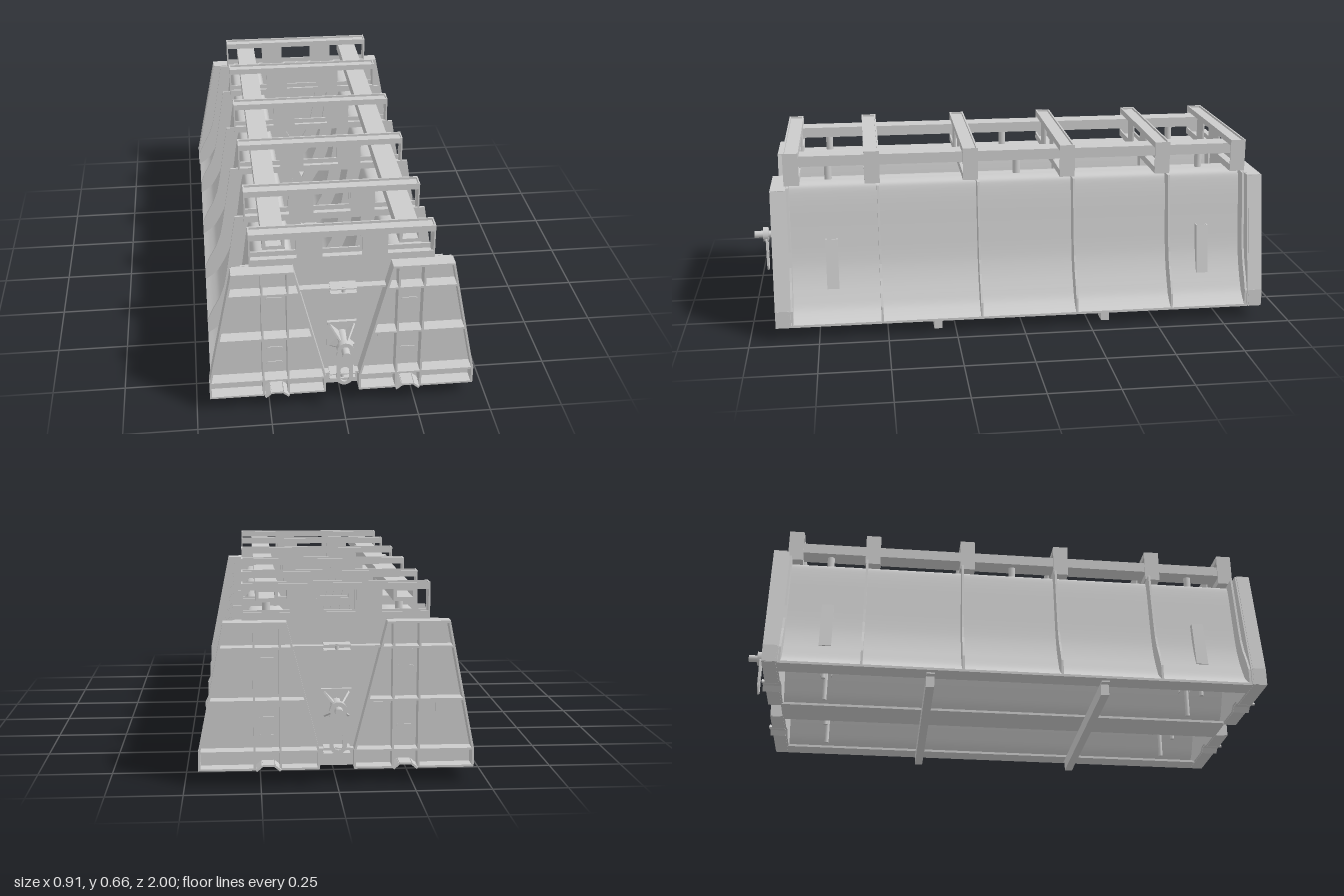
import * as THREE from 'three';

const mat = new THREE.MeshStandardMaterial({ color: 0xcccccc, side: THREE.DoubleSide });
const C = 0.225; // centre line of each mould

function add(parent, name, geo, x = 0, y = 0, z = 0) {
  const m = new THREE.Mesh(geo, mat);
  m.name = name;
  m.position.set(x, y, z);
  parent.add(m);
  return m;
}
// Box given by its limits
const box = (p, name, x0, x1, y0, y1, z0, z1) =>
  add(p, name, new THREE.BoxGeometry(x1 - x0, y1 - y0, z1 - z0), (x0 + x1) / 2, (y0 + y1) / 2, (z0 + z1) / 2);

const poly = (pts) => new THREE.Shape(pts.map(([x, y]) => new THREE.Vector2(x, y)));
const rect = (x0, x1, y0, y1) => new THREE.Path([[x0, y0], [x1, y0], [x1, y1], [x0, y1]].map(([x, y]) => new THREE.Vector2(x, y)));
const extrude = (p, name, shape, z0, depth) =>
  add(p, name, new THREE.ExtrudeGeometry(shape, { depth, bevelEnabled: false, curveSegments: 8 }), 0, 0, z0);

// Thin bar between two points of an end face
function bar(p, name, x0, y0, x1, y1, z0, z1, t = 0.007) {
  const m = add(p, name, new THREE.BoxGeometry(Math.hypot(x1 - x0, y1 - y0), t, z1 - z0), (x0 + x1) / 2, (y0 + y1) / 2, (z0 + z1) / 2);
  m.rotation.z = Math.atan2(y1 - y0, x1 - x0);
}
function pill(w, h, y = 0) {
  const r = Math.min(w, h) / 2, a = Math.max(w, h) / 2 - r, s = new THREE.Shape();
  if (w > h) {
    s.absarc(a, y, r, -Math.PI / 2, Math.PI / 2);
    s.absarc(-a, y, r, Math.PI / 2, Math.PI * 1.5);
  } else {
    s.absarc(0, y + a, r, 0, Math.PI);
    s.absarc(0, y - a, r, Math.PI, Math.PI * 2);
  }
  return s;
}
function rod(p, name, r0, r1, x, y, z, len, axis = 'y') {
  const m = add(p, name, new THREE.CylinderGeometry(r1, r0, len, 20), x, y, z);
  if (axis === 'z') m.rotation.x = Math.PI / 2;
}

// Half of the mould wall, measured from the mould centre line
const wall = [[0.225, 0.056], [0.2, 0.073], [0.176, 0.095], [0.153, 0.135], [0.131, 0.18], [0.113, 0.23], [0.102, 0.28], [0.09, 0.36], [0.068, 0.505], [0.057, 0.532], [0.03, 0.54], [0, 0.54]];
const ribEdge = [[0.225, 0.05], [0.225, 0.11], [0.205, 0.155], [0.178, 0.205], [0.16, 0.255], [0.149, 0.31], [0.112, 0.54], [0.05, 0.54]];

function mouldBody(sign) {
  const g = new THREE.Group();
  g.name = 'mouldBody';
  g.position.x = sign * C;
  const curve = new THREE.CatmullRomCurve3(wall.map(([x, y]) => new THREE.Vector3(x, y, 0)), false, 'centripetal');
  const n = 44;
  for (const s of [-1, 1]) {
    // Curved wall sheet
    const geo = new THREE.PlaneGeometry(1, 1, n, 1), pos = geo.attributes.position;
    for (let i = 0; i < pos.count; i++) {
      const q = curve.getPoint((i % (n + 1)) / n);
      pos.setXYZ(i, q.x * s, q.y, i > n ? -0.853 : 0.853);
    }
    if (s > 0) geo.index.array.reverse();
    geo.computeVertexNormals();
    add(g, 'curvedWall', geo);
    // Bottom flange
    box(g, 'bottomFlange', Math.min(s * 0.15, s * 0.225), Math.max(s * 0.15, s * 0.225), 0.047, 0.056, -0.853, 0.853);
    // Stiffening ribs
    const pts = [...ribEdge, ...wall.slice(0, 9).reverse()].map(([x, y]) => [x * s, y]);
    for (const z of [0.845, 0.52, 0.155, -0.2, -0.56, -0.845]) extrude(g, 'wallRib', poly(pts), z - 0.004, 0.008);
    // Slanted pockets with the pins below them
    for (const z of [-0.695, 0.695]) {
      const cheek = poly([[0.125, 0.16], [0.143, 0.16], [0.113, 0.34], [0.088, 0.34]].map(([x, y]) => [x * s, y]));
      for (const dz of [-0.022, 0.018]) extrude(g, 'pocketCheek', cheek, z + dz, 0.004);
      bar(g, 'pocketBack', 0.143 * s, 0.16, 0.113 * s, 0.34, z - 0.022, z + 0.022, 0.004);
      rod(g, 'pocketPin', 0.008, 0.008, s * 0.1, 0.14, z, 0.18);
    }
  }
  // Top rail: hollow rectangular tube on posts
  const tube = poly([[-0.037, 0.598], [0.037, 0.598], [0.037, 0.637], [-0.037, 0.637]]);
  tube.holes.push(rect(-0.026, 0.026, 0.611, 0.632));
  extrude(g, 'topRail', tube, -0.85, 1.7);
  for (const z of [-0.7, 0, 0.7]) rod(g, 'railPost', 0.0135, 0.0135, 0, 0.569, z, 0.06);
  return g;
}

// Crossbar with three windows and closing plates
function crossbar(z) {
  const g = new THREE.Group();
  g.name = 'crossbar';
  g.position.z = z;
  const web = poly([[-0.307, 0.54], [0.307, 0.54], [0.307, 0.66], [-0.307, 0.66]]);
  web.holes.push(rect(-0.302, -0.15, 0.565, 0.638), rect(-0.065, 0.065, 0.565, 0.638), rect(0.15, 0.302, 0.565, 0.638));
  for (const dz of [-0.028, 0.022]) extrude(g, 'windowedWeb', web, dz, 0.006);
  box(g, 'topPlate', -0.307, 0.307, 0.645, 0.652, -0.022, 0.022);
  box(g, 'bottomPlate', -0.307, 0.307, 0.54, 0.547, -0.022, 0.022);
  for (const s of [-1, 1]) add(g, 'sidePlate', new THREE.BoxGeometry(0.005, 0.12, 0.056), s * 0.305, 0.6, 0);
  return g;
}

function endFrame() {
  const g = new THREE.Group();
  g.name = 'endFrame';
  const notch = [[0.265, 0.05], [0.245, 0.067], [0.205, 0.067], [0.185, 0.05]];
  const half = [[0.453, 0.05], [0.453, 0.11], [0.365, 0.54]];
  const neg = (a) => a.map(([x, y]) => [-x, y]);
  extrude(g, 'endPlate', poly([...half, ...neg(half).reverse(), ...neg(notch), ...notch.slice().reverse()]), 0.85, 0.008);
  const z0 = 0.856, z1 = 0.905;
  for (const s of [-1, 1]) {
    const b = (x0, y0, x1, y1, za = z0, zb = z1) => bar(g, 'endRib', s * x0, y0, s * x1, y1, za, zb);
    // Trapezoid border
    b(0.451, 0.05, 0.451, 0.113);
    b(0.451, 0.11, 0.365, 0.54);
    b(0.06, 0.05, 0.06, 0.113);
    b(0.06, 0.11, 0.167, 0.54);
    b(0.163, 0.537, 0.369, 0.537);
    b(0.058, 0.052, 0.185, 0.052);
    b(0.265, 0.052, 0.453, 0.052);
    // Vertical and horizontal stiffeners
    for (const x of [0.185, 0.27]) b(x, 0.05, x, 0.537);
    b(0.06, 0.11, 0.451, 0.11);
    b(0.102, 0.28, 0.415, 0.28);
    b(0.146, 0.455, 0.381, 0.455);
    // Lip around the bottom notch
    for (let i = 0; i < 3; i++) b(...notch[i], ...notch[i + 1], z0, 0.917);
    for (const y of s < 0 ? [0.41, 0.21, 0.15] : [0.435, 0.38, 0.18])
      extrude(g, 'slotPlate', pill(0.056, 0.016), 0, 0.004).position.set(s * 0.228, y, 0.857);
  }
  // Tie bars with lugs across the middle
  for (const [y, w] of [[0.455, 0.148], [0.11, 0.062]]) {
    box(g, 'tieBar', -w, w, y - 0.0035, y + 0.0035, z0, 0.885);
    for (const dy of [-0.009, 0.009]) box(g, 'tieLug', -0.044, 0.044, y + dy - 0.002, y + dy + 0.002, z0, z1);
    rod(g, 'tiePin', 0.007, 0.007, 0, y, 0.893, 0.024);
  }
  // Small plates on the face
  for (const [x, w, h] of [[0.147, 0.045, 0.027], [0.298, 0.035, 0.042], [0.349, 0.035, 0.042]])
    add(g, 'facePlate', new THREE.BoxGeometry(w, h, 0.004), x, 0.25, 0.86);
  // Pivot with gussets, spindle, collar and hanging link
  const py = 0.262;
  box(g, 'pivotPlate', -0.05, 0.05, 0.212, 0.312, z0, 0.87);
  rod(g, 'pivotBoss', 0.02, 0.016, 0, py, 0.9, 0.07, 'z');
  rod(g, 'spindle', 0.0135, 0.0135, 0, py, 0.945, 0.11, 'z');
  rod(g, 'spindleCollar', 0.028, 0.028, 0, py, 0.956, 0.02, 'z');
  for (let i = 0; i < 4; i++) {
    // Gusset outline lies in the radial and axial plane
    const m = extrude(g, 'pivotGusset', poly([[0, 0.868], [0.058, 0.868], [0.058, 0.876], [0.02, 0.93], [0, 0.93]]), 0, 0.006);
    m.geometry.translate(0, 0, -0.003).rotateX(Math.PI / 2).rotateZ(Math.PI / 4 + i * Math.PI / 2);
    m.position.set(0, py, 0);
  }
  const link = pill(0.056, 0.15);
  link.holes.push(pill(0.03, 0.06, -0.032));
  extrude(g, 'hangingLink', link, 0, 0.007).position.set(0, 0.19, 0.95);
  return g;
}

export function createModel() {
  const model = new THREE.Group();
  model.name = 'twinMould';
  for (const s of [-1, 1]) model.add(mouldBody(s));
  for (const z of [0.83, 0.54, 0.18, -0.18, -0.54, -0.83]) model.add(crossbar(z));
  // Central strip between the moulds
  box(model, 'centreStrip', -0.028, 0.028, 0.05, 0.082, -0.853, 0.853);
  for (const s of [-1, 1]) {
    const end = endFrame();
    if (s < 0) end.rotation.y = Math.PI;
    model.add(end);
    // Ground beams
    box(model, 'groundBeam', -0.407, 0.407, 0, 0.043, s * 0.315 - 0.015, s * 0.315 + 0.015);
    box(model, 'beamPad', -0.43, 0.43, 0.041, 0.047, s * 0.315 - 0.015, s * 0.315 + 0.015);
  }
  return model;
}
